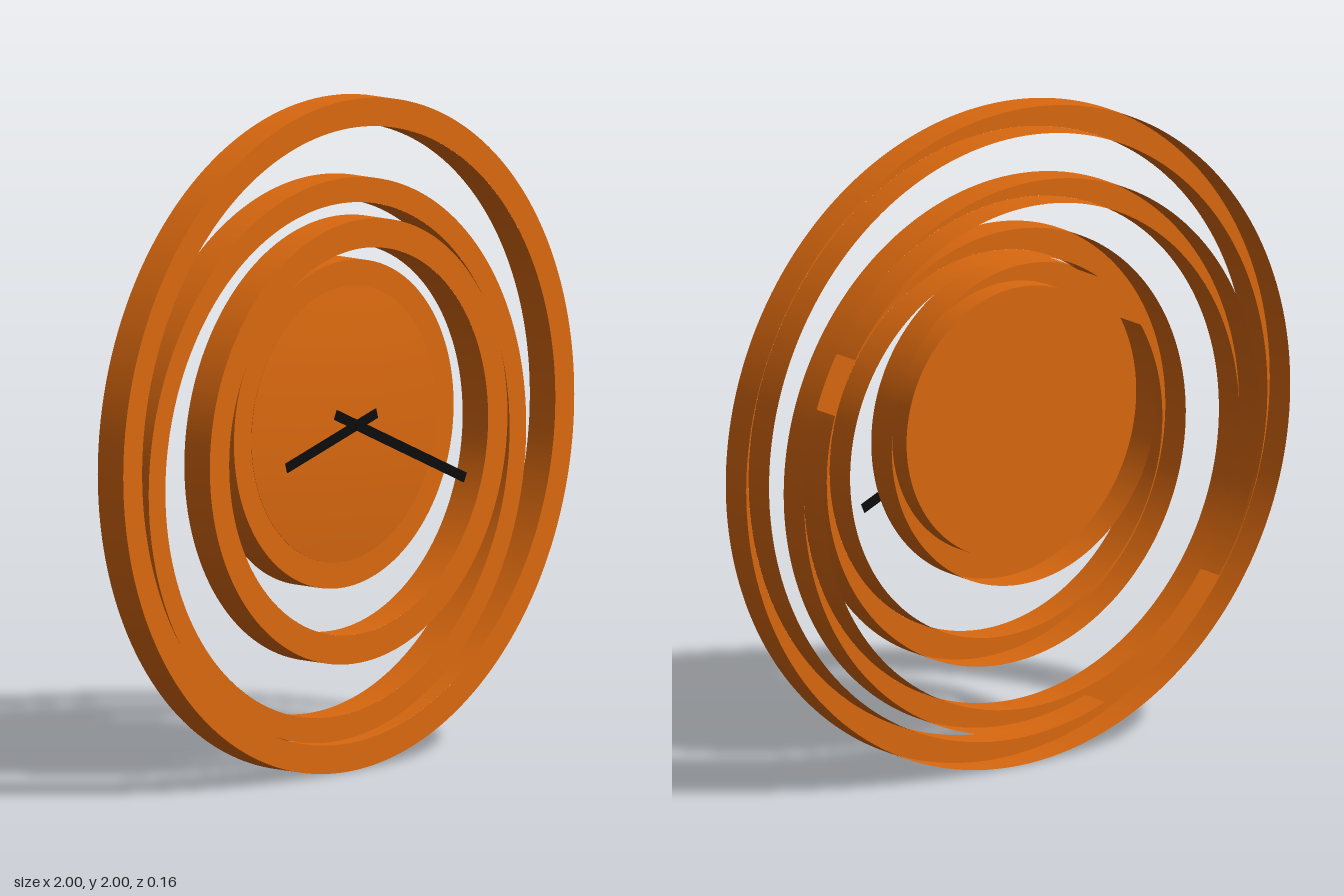
import * as THREE from 'three';
import { toCreasedNormals } from 'three/addons/utils/BufferGeometryUtils.js';

const FRONT = 0.02, BACK = -0.08;
const orange = new THREE.MeshStandardMaterial({ color: 0xd9680f });
const shell = new THREE.MeshStandardMaterial({ color: 0xd9680f, side: THREE.DoubleSide });
const black = new THREE.MeshStandardMaterial({ color: 0x0c0c0c });

// Off-centre circles whose gaps leave the rings and the dial
const rim = { x: 0, y: 1, r: 1 };
const rimInner = { x: 0, y: 1, r: 0.916 };
const middleOuter = { x: -0.05, y: 0.934, r: 0.837 };
const middleInner = { x: -0.05, y: 0.934, r: 0.763 };
const innerOuter = { x: 0.044, y: 0.978, r: 0.66 };
const innerInner = { x: 0.044, y: 0.978, r: 0.574 };
const dial = { x: -0.022, y: 1.038, r: 0.487 };

function part(name, geometry, material, x = 0, y = 0, z = 0) {
  const mesh = new THREE.Mesh(geometry, material);
  mesh.name = name;
  mesh.position.set(x, y, z);
  return mesh;
}

// Upright wall along an arc of a circle, running from front to back
function wall(name, c, start = 0, length = Math.PI * 2) {
  const g = new THREE.CylinderGeometry(c.r, c.r, FRONT - BACK, 160, 1, true, start + Math.PI / 2, length);
  g.rotateX(Math.PI / 2);
  return part(name, g, shell, c.x, c.y, (FRONT + BACK) / 2);
}

// Crescent left between a large circle and a smaller one that crosses it
function crescent(big, small) {
  const dx = small.x - big.x, dy = small.y - big.y;
  const d = Math.hypot(dx, dy), dir = Math.atan2(dy, dx);
  const diff = big.r ** 2 - small.r ** 2;
  const a = Math.acos((diff + d * d) / (2 * big.r * d));
  const b = Math.acos((diff - d * d) / (2 * small.r * d));
  const path = new THREE.Path();
  path.absarc(big.x, big.y, big.r, dir + a, dir - a + Math.PI * 2, false);
  path.absarc(small.x, small.y, small.r, dir - b, dir + b, true);
  const walls = [
    wall('crescentOuterWall', big, dir + a, 2 * (Math.PI - a)),
    wall('crescentInnerWall', small, dir + b, 2 * (Math.PI - b)),
  ];
  return { path, walls };
}

// Revolve an (r, z) profile around the z axis
function turned(name, profile, material) {
  const lathe = new THREE.LatheGeometry(profile.map(([r, z]) => new THREE.Vector2(r, z)), 128);
  lathe.rotateX(Math.PI / 2);
  return part(name, toCreasedNormals(lathe, 0.35), material, dial.x, dial.y);
}

// Thin bar between two points on the dial
function hand(name, x1, y1, x2, y2, z) {
  const bar = new THREE.BoxGeometry(Math.hypot(x2 - x1, y2 - y1), 0.03, 0.003);
  const mesh = part(name, bar, black, (x1 + x2) / 2, (y1 + y2) / 2, z);
  mesh.rotation.z = Math.atan2(y2 - y1, x2 - x1);
  return mesh;
}

export function createModel() {
  const clock = new THREE.Group();
  clock.name = 'wallClock';

  // Hollow case, open at the back: pierced front panel and its walls
  const gaps = [
    crescent(rimInner, middleOuter),
    crescent(middleInner, innerOuter),
    crescent(innerInner, dial),
  ];
  const panel = new THREE.Shape().absarc(rim.x, rim.y, rim.r, 0, Math.PI * 2, false);
  panel.holes = gaps.map((gap) => gap.path);
  clock.add(part('frontPanel', new THREE.ShapeGeometry(panel, 160), shell, 0, 0, FRONT));
  clock.add(wall('rimWall', rim), ...gaps.flatMap((gap) => gap.walls));

  // Round dial insert with a shallow domed face
  const dome = [];
  for (let i = 0; i <= 8; i++) {
    const t = 1 - i / 8;
    dome.push([0.41 * t, FRONT + 0.001 + 0.024 * (1 - t * t)]);
  }
  clock.add(turned('dialInsert', [[0, -0.05], [0.41, -0.05], ...dome], orange));

  // Spindle and hands
  clock.add(
    turned('spindle', [[0, 0.035], [0.009, 0.035], [0.009, 0.08], [0, 0.08]], black),
    hand('hourHand', -0.333, 0.95, 0.068, 1.065, 0.07),
    hand('minuteHand', -0.118, 1.083, 0.456, 0.825, 0.073),
  );
  return clock;
}
